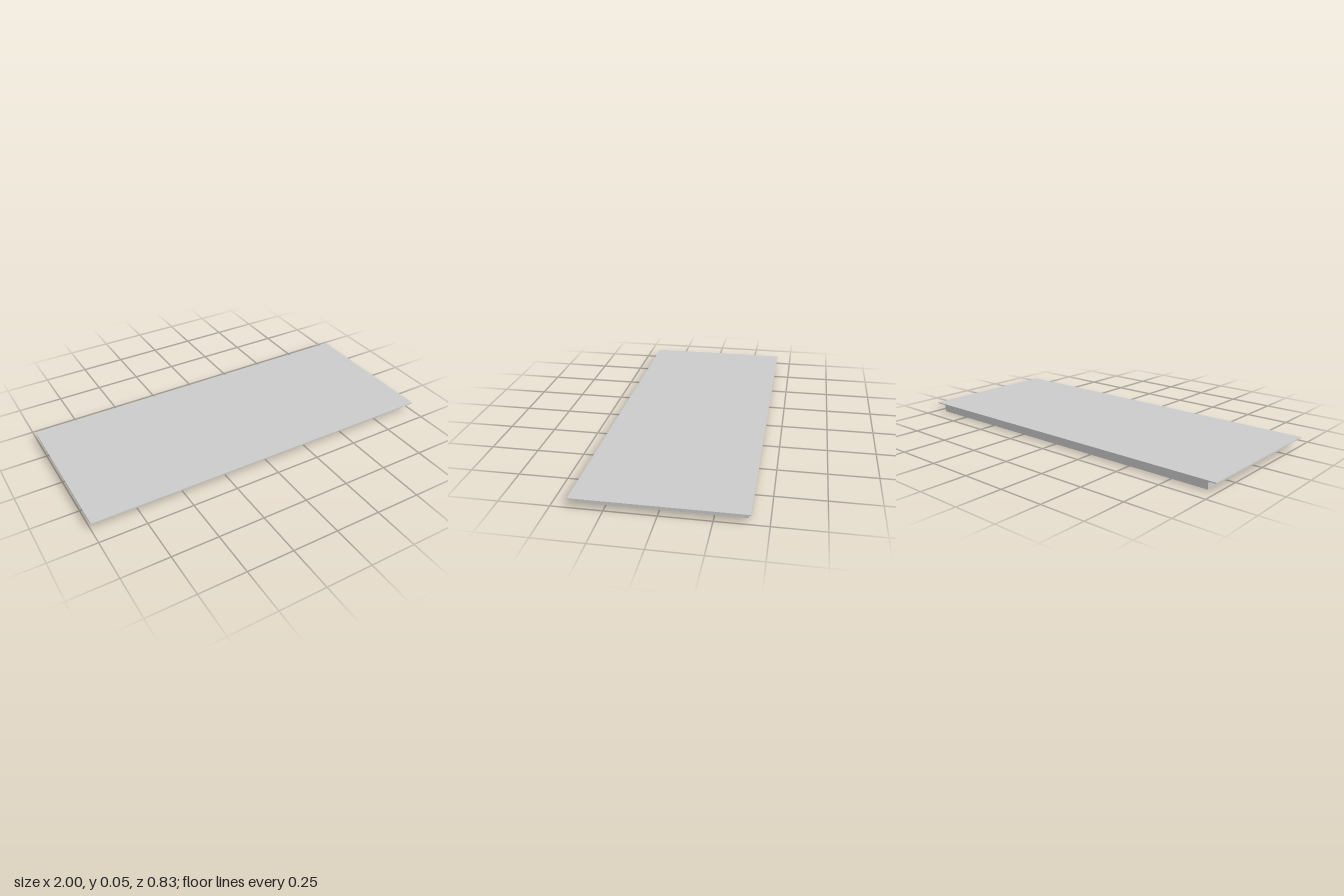
import * as THREE from 'three';

const material = new THREE.MeshStandardMaterial({ color: 0xcccccc });
const HEIGHT = 0.05, PLATE = 0.005, DEPTH = 0.832;

// Thin cover plate overhanging the body on every side
function createCoverPlate() {
  const geometry = new THREE.BoxGeometry(2, PLATE, DEPTH);
  geometry.translate(0, HEIGHT - PLATE / 2, 0);
  const mesh = new THREE.Mesh(geometry, material);
  mesh.name = 'coverPlate';
  return mesh;
}

// Shallow body, set towards the back, with round holes open at the underside
function createBody() {
  const halfWidth = 0.95, front = 0.373, back = -0.403;
  const shape = new THREE.Shape([
    new THREE.Vector2(-halfWidth, back),
    new THREE.Vector2(halfWidth, back),
    new THREE.Vector2(halfWidth, front),
    new THREE.Vector2(-halfWidth, front),
  ]);

  // One hole near the middle and a row of three along the back edge
  const holes = [[0.027, 0.033], [-0.467, -0.33], [-0.653, -0.33], [-0.84, -0.33]];
  for (const [x, z] of holes) {
    shape.holes.push(new THREE.Path().absarc(x, z, 0.022, 0, Math.PI * 2, true));
  }

  const geometry = new THREE.ExtrudeGeometry(shape, {
    depth: HEIGHT - PLATE, bevelEnabled: false, curveSegments: 24,
  });
  geometry.rotateX(Math.PI / 2);
  geometry.translate(0, HEIGHT - PLATE, 0);
  const mesh = new THREE.Mesh(geometry, material);
  mesh.name = 'body';
  return mesh;
}

export function createModel() {
  const model = new THREE.Group();
  model.name = 'coveredPanel';
  model.add(createCoverPlate(), createBody());
  return model;
}
